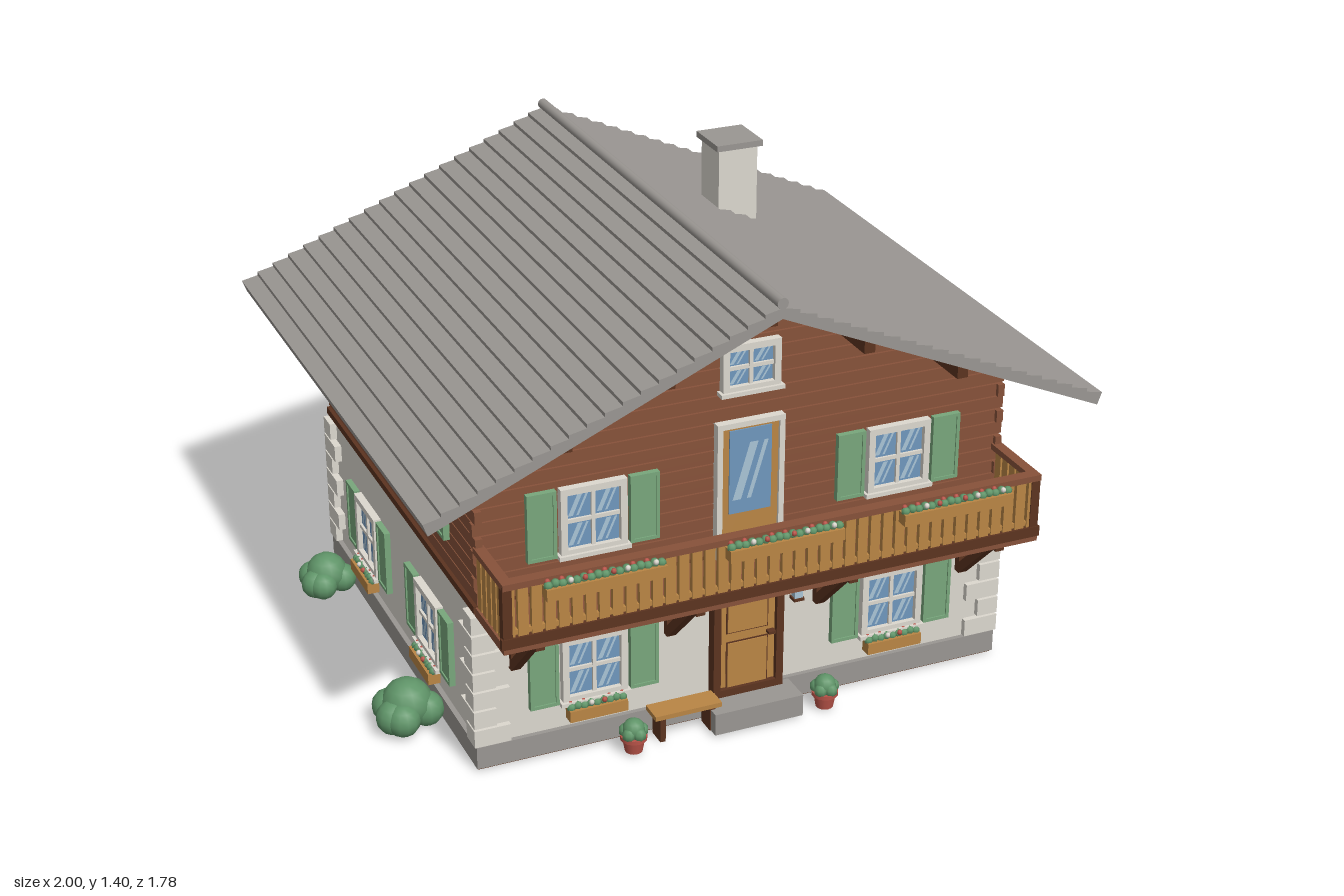
import * as THREE from 'three';

const mat = (name, color) => Object.assign(new THREE.MeshStandardMaterial({ color }), { name });
const M = {
  plaster: mat('plaster', 0xdcd8cf), grey: mat('greyStone', 0x9a9692), log: mat('logBrown', 0x87523a),
  dark: mat('darkBrown', 0x5c3420), honey: mat('honeyWood', 0xb98545), shutter: mat('shutterGreen', 0x78a77c),
  leaf: mat('leafGreen', 0x5f9468), glass: mat('glassBlue', 0x6f97bd), glint: mat('paleBlue', 0xa9c4d6),
  red: mat('flowerRed', 0xb85348),
};
const C = -0.036;                                   // middle of the house along z
const RIDGE = 1.31, SLOPE = 0.4365, UNDER = 1.275;  // roof heights and pitch

function add(parent, name, geo, material, x = 0, y = 0, z = 0) {
  const m = new THREE.Mesh(geo, material);
  m.name = name;
  m.position.set(x, y, z);
  parent.add(m);
  return m;
}
const box = (p, name, m, w, h, d, x, y, z) => add(p, name, new THREE.BoxGeometry(w, h, d), m, x, y, z);
const ball = (p, name, m, r, x, y, z, seg = 8) => add(p, name, new THREE.SphereGeometry(r, seg, Math.max(5, seg * 0.7 | 0)), m, x, y, z);
function group(parent, name, x = 0, y = 0, z = 0, ry = 0) {
  const g = new THREE.Group();
  g.name = name;
  g.position.set(x, y, z);
  g.rotation.y = ry;
  parent.add(g);
  return g;
}
function poly(points, depth) {
  const shape = new THREE.Shape(points.map(([x, y]) => new THREE.Vector2(x, y)));
  return depth ? new THREE.ExtrudeGeometry(shape, { depth, bevelEnabled: false }) : new THREE.ShapeGeometry(shape);
}

// Rectangular frame around the local origin
function frame(p, m, w, h, t, d, z = 0) {
  for (const s of [-1, 1]) {
    box(p, 'frameSide', m, t, h, d, s * (w - t) / 2, 0, z);
    box(p, 'frameRail', m, w - 2 * t, t, d, 0, s * (h - t) / 2, z);
  }
}

// Two slanted reflections on a pane
function glints(p, x, y, w, h, z) {
  for (const [o, t] of [[-0.22, 0.2], [0.12, 0.1]]) {
    const pts = [[o - 0.2, -0.42], [o - 0.2 + t, -0.42], [o + 0.2 + t, 0.42], [o + 0.2, 0.42]];
    add(p, 'reflection', poly(pts.map(([a, b]) => [a * w, b * h])), M.glint, x, y, z);
  }
}

function flowerBox(p, w, x, y, z) {
  const g = group(p, 'flowerBox', x, y, z);
  box(g, 'trough', M.honey, w, 0.034, 0.036, 0, 0, 0);
  const n = Math.round(w / 0.02);
  for (let i = 0; i < n; i++) {
    const fx = -w / 2 + (i + 0.5) * w / n;
    ball(g, 'foliage', M.leaf, 0.013, fx, 0.02 + 0.004 * (i % 2), 0, 7);
    if (i % 3 !== 1) ball(g, 'blossom', i % 4 === 3 ? M.plaster : M.red, 0.008, fx, 0.03, i % 2 ? 0.01 : -0.006, 6);
  }
}

// Window with frame, cross bars and optional shutters and flower box
function windowUnit(p, { w = 0.19, h = 0.2, shutters = true, flowers = false }) {
  const g = group(p, 'window');
  box(g, 'glass', M.glass, w - 0.02, h - 0.02, 0.008, 0, 0, 0.004);
  frame(g, M.plaster, w, h, 0.019, 0.026, 0.01);
  box(g, 'mullion', M.plaster, 0.011, h - 0.03, 0.016, 0, 0, 0.008);
  box(g, 'crossBar', M.plaster, w - 0.03, 0.011, 0.015, 0, 0, 0.008);
  box(g, 'sill', M.plaster, w + 0.016, 0.012, 0.036, 0, -h / 2, 0.014);
  const pw = (w - 0.05) / 2, ph = (h - 0.05) / 2;
  for (const sx of [-1, 1]) for (const sy of [-1, 1])
    glints(g, sx * (pw / 2 + 0.006), sy * (ph / 2 + 0.006), pw, ph, 0.009);
  if (shutters) for (const s of [-1, 1]) {
    box(g, 'shutter', M.shutter, 0.084, h, 0.014, s * 0.147, 0, 0.009);
    const f = group(g, 'shutterFrame', s * 0.147, 0, 0.014);
    frame(f, M.shutter, 0.084, h, 0.01, 0.012);
  }
  if (flowers) flowerBox(g, w - 0.02, 0, -h / 2 - 0.03, 0.03);
  return g;
}

function bush(p, x, z, s) {
  const g = group(p, 'bush', x, 0, z);
  g.scale.setScalar(s);
  const lumps = [[0, 0.07, 0, 0.075], [0.05, 0.05, 0.02, 0.052], [-0.05, 0.05, 0.03, 0.052],
    [0.02, 0.05, -0.055, 0.05], [-0.03, 0.05, 0.055, 0.05], [-0.045, 0.055, -0.03, 0.05]];
  for (const [a, b, c, r] of lumps) ball(g, 'foliage', M.leaf, r, a, b, c, 12);
}

function pot(p, x, z) {
  const g = group(p, 'flowerPot', x, 0, z);
  add(g, 'pot', new THREE.CylinderGeometry(0.033, 0.025, 0.045, 14), M.red, 0, 0.0225, 0);
  add(g, 'rim', new THREE.CylinderGeometry(0.038, 0.038, 0.012, 14), M.red, 0, 0.044, 0);
  ball(g, 'plant', M.leaf, 0.032, 0, 0.068, 0, 12);
  for (let i = 0; i < 5; i++) ball(g, 'leafTuft', M.leaf, 0.02, 0.024 * Math.cos(i * 1.26), 0.06, 0.024 * Math.sin(i * 1.26), 8);
}

export function createModel() {
  const house = new THREE.Group();
  house.name = 'mountainHouse';

  // Ground floor: plinth, plaster walls, corner stones
  box(house, 'floorUnderside', M.dark, 1.59, 0.006, 1.33, 0, 0.003, C);
  box(house, 'plinth', M.grey, 1.6, 0.067, 1.338, 0, 0.0375, C);
  box(house, 'plasterWalls', M.plaster, 1.57, 0.43, 1.31, 0, 0.28, C);
  const quoins = group(house, 'cornerStones');
  for (const sx of [-1, 1]) for (const sz of [-1, 1]) for (let i = 0; i < 7; i++) {
    const w = i % 2 ? 0.065 : 0.105, d = i % 2 ? 0.105 : 0.065;
    box(quoins, 'cornerStone', M.plaster, w, 0.052, d, sx * (0.806 - w / 2), 0.1 + i * 0.0585, C + sz * (0.672 - d / 2));
  }

  // Upper floor: solid gable core with log courses laid over it
  const core = poly([[-0.77, 0.48], [0.77, 0.48], [0.77, UNDER - SLOPE * 0.77 + 0.01], [0, UNDER + 0.01], [-0.77, UNDER - SLOPE * 0.77 + 0.01]], 1.3);
  add(house, 'gableCore', core, M.log, 0, 0, C - 0.65);
  box(house, 'sillBeam', M.dark, 1.59, 0.022, 1.336, 0, 0.498, C);
  const logs = group(house, 'logCourses');
  for (let i = 0; i < 19; i++) {
    const y = 0.53 + i * 0.04, room = (UNDER - y - 0.018) / SLOPE, end = i % 2 ? 0.012 : 0;
    const half = Math.min(0.778 + end, room);
    if (half > 0.02) for (const s of [-1, 1]) box(logs, 'gableLog', M.log, half * 2, 0.036, 0.02, 0, y, C + s * 0.65);
    if (y < 0.93) for (const s of [-1, 1]) box(logs, 'sideLog', M.log, 0.02, 0.036, 2 * (0.672 - end), s * 0.776, y, C);
  }

  // Roof: lapped boards as a stepped profile, ridge pole, purlins
  const steps = 20, top = [], W = 0.985;
  for (let i = 0; i < steps; i++) {
    const a = W * i / steps, b = W * (i + 1) / steps;
    top.push([a, RIDGE - SLOPE * a - 0.005], [b, RIDGE - SLOPE * b + 0.006]);
  }
  const mirrored = top.map(([x, y]) => [-x, y]).reverse();
  mirrored.pop();
  const profile = [[0, UNDER], [W - 0.013, UNDER - SLOPE * (W - 0.013)], ...top.slice().reverse(), ...mirrored.reverse(),
    [-W + 0.013, UNDER - SLOPE * (W - 0.013)]];
  add(house, 'roof', poly(profile, 1.71), M.grey, 0, 0, -0.89);
  const ridge = add(house, 'ridgePole', new THREE.CylinderGeometry(0.016, 0.016, 1.712, 12), M.grey, 0, 1.318, -0.035);
  ridge.rotation.x = Math.PI / 2;
  for (const x of [-0.575, -0.288, 0, 0.288, 0.575])
    box(house, 'purlin', M.dark, 0.032, 0.044, 1.6, x, UNDER - SLOPE * Math.abs(x) - 0.024, -0.04);

  // Chimney
  box(house, 'chimney', M.plaster, 0.122, 0.28, 0.122, 0.318, 1.24, -0.2);
  box(house, 'chimneyCap', M.grey, 0.145, 0.018, 0.147, 0.318, 1.385, -0.2);

  // Windows on all four walls: [x, y, z, turn, options]
  const F = 0.619, B = -0.691, low = 0.253, high = 0.71;
  const spots = [[0, 1.068, 0.624, 0, { w: 0.17, h: 0.14, shutters: false }],
    [0, 1.068, -0.696, Math.PI, { w: 0.17, h: 0.14, shutters: false }]];
  for (const s of [-1, 1]) {
    spots.push([s * 0.455, low, F, 0, { flowers: true }], [s * 0.455, high, F + 0.005, 0, {}]);
    spots.push([s * 0.355, low, B, Math.PI, {}], [s * 0.355, high, B - 0.005, Math.PI, { flowers: true }]);
    for (const z of [0.243, -0.315]) {
      spots.push([s * 0.785, low, z, s * Math.PI / 2, { flowers: s < 0 || z < 0 }]);
      spots.push([s * 0.786, high, z, s * Math.PI / 2, {}]);
    }
  }
  for (const [x, y, z, turn, options] of spots) {
    const w = windowUnit(house, options);
    w.position.set(x, y, z);
    w.rotation.y = turn;
  }

  // Front door with raised panels
  const door = group(house, 'frontDoor', 0, 0.26, F);
  frame(door, M.dark, 0.214, 0.385, 0.022, 0.05, 0.01);
  box(door, 'doorLeaf', M.honey, 0.18, 0.36, 0.03, 0, -0.01, 0.005);
  for (const [y, h] of [[0.075, 0.14], [-0.1, 0.14]]) {
    box(door, 'panelEdge', M.dark, 0.128, h + 0.008, 0.004, 0, y, 0.02);
    box(door, 'panel', M.honey, 0.12, h, 0.008, 0, y, 0.021);
  }
  box(door, 'handle', M.dark, 0.022, 0.008, 0.02, 0.07, -0.015, 0.03);
  box(house, 'doorStep', M.grey, 0.27, 0.066, 0.1, 0, 0.034, 0.68);

  // Balcony door
  const upper = group(house, 'balconyDoor', 0, 0.707, F + 0.005);
  frame(upper, M.plaster, 0.2, 0.41, 0.016, 0.034, 0.008);
  box(upper, 'doorLeaf', M.honey, 0.17, 0.39, 0.02, 0, 0, 0.006);
  box(upper, 'glass', M.glass, 0.125, 0.25, 0.006, 0, 0.055, 0.017);
  glints(upper, 0, 0.055, 0.125, 0.2, 0.021);

  // Balcony: deck, rails, balusters, brackets
  const balcony = group(house, 'balcony');
  box(balcony, 'deck', M.log, 1.58, 0.028, 0.225, 0, 0.492, 0.735);
  box(balcony, 'deckEdge', M.dark, 1.59, 0.03, 0.015, 0, 0.508, 0.842);
  box(balcony, 'topRail', M.log, 1.58, 0.018, 0.034, 0, 0.675, 0.833);
  box(balcony, 'bottomRail', M.honey, 1.56, 0.014, 0.014, 0, 0.535, 0.833);
  for (let i = 0; i < 42; i++) box(balcony, 'baluster', M.honey, 0.029, 0.155, 0.014, -0.77 + i * 1.54 / 41, 0.59, 0.836);
  for (const s of [-1, 1]) {
    box(balcony, 'sideRail', M.log, 0.03, 0.018, 0.21, s * 0.775, 0.675, 0.73);
    box(balcony, 'cornerPost', M.dark, 0.026, 0.18, 0.026, s * 0.777, 0.587, 0.833);
    for (let i = 0; i < 5; i++) box(balcony, 'sideBaluster', M.honey, 0.014, 0.165, 0.029, s * 0.777, 0.588, 0.65 + i * 0.038);
  }
  for (const x of [-0.685, -0.23, 0.225, 0.68]) {
    const brace = box(balcony, 'brace', M.dark, 0.026, 0.026, 0.235, x, 0.39, 0.718);
    brace.rotation.x = -Math.PI / 4;
    box(balcony, 'bracketPost', M.dark, 0.026, 0.19, 0.022, x, 0.39, 0.63);
    box(balcony, 'bracketBeam', M.dark, 0.026, 0.024, 0.21, x, 0.473, 0.73);
  }
  for (const x of [-0.515, 0, 0.515]) flowerBox(balcony, 0.335, x, 0.648, 0.868);

  // Wall lantern
  const lantern = group(house, 'lantern', 0.145, 0.365, 0.655);
  box(lantern, 'arm', M.dark, 0.01, 0.01, 0.04, 0, 0.045, -0.018);
  box(lantern, 'lamp', M.glint, 0.024, 0.045, 0.024, 0, 0, 0);
  box(lantern, 'base', M.dark, 0.032, 0.008, 0.032, 0, -0.026, 0);
  add(lantern, 'cap', new THREE.ConeGeometry(0.026, 0.022, 4), M.dark, 0, 0.034, 0);

  // Bench
  const bench = group(house, 'bench', -0.205, 0, 0.672);
  box(bench, 'seat', M.honey, 0.2, 0.014, 0.07, 0, 0.082, 0);
  for (const s of [-1, 1]) box(bench, 'benchLeg', M.dark, 0.016, 0.075, 0.056, s * 0.075, 0.0375, 0);

  // Stacked firewood on a stone slab
  box(house, 'woodSlab', M.grey, 0.1, 0.067, 0.45, 0.84, 0.0335, 0.22);
  const pile = group(house, 'firewood');
  for (let row = 0; row < 3; row++) for (let i = 0; i < 13 - row % 2; i++) {
    const stick = add(pile, 'firewoodLog', new THREE.CylinderGeometry(0.0165, 0.0165, 0.085, 10), M.honey,
      0.835, 0.084 + row * 0.032, 0.028 + (row % 2) * 0.0165 + i * 0.0325);
    stick.rotation.z = Math.PI / 2;
  }

  // Planting around the house
  pot(house, -0.37, 0.705);
  pot(house, 0.215, 0.705);
  bush(house, -0.898, 0.33, 0.98);
  bush(house, -0.885, -0.49, 0.85);
  bush(house, 0.898, -0.43, 0.98);
  return house;
}
